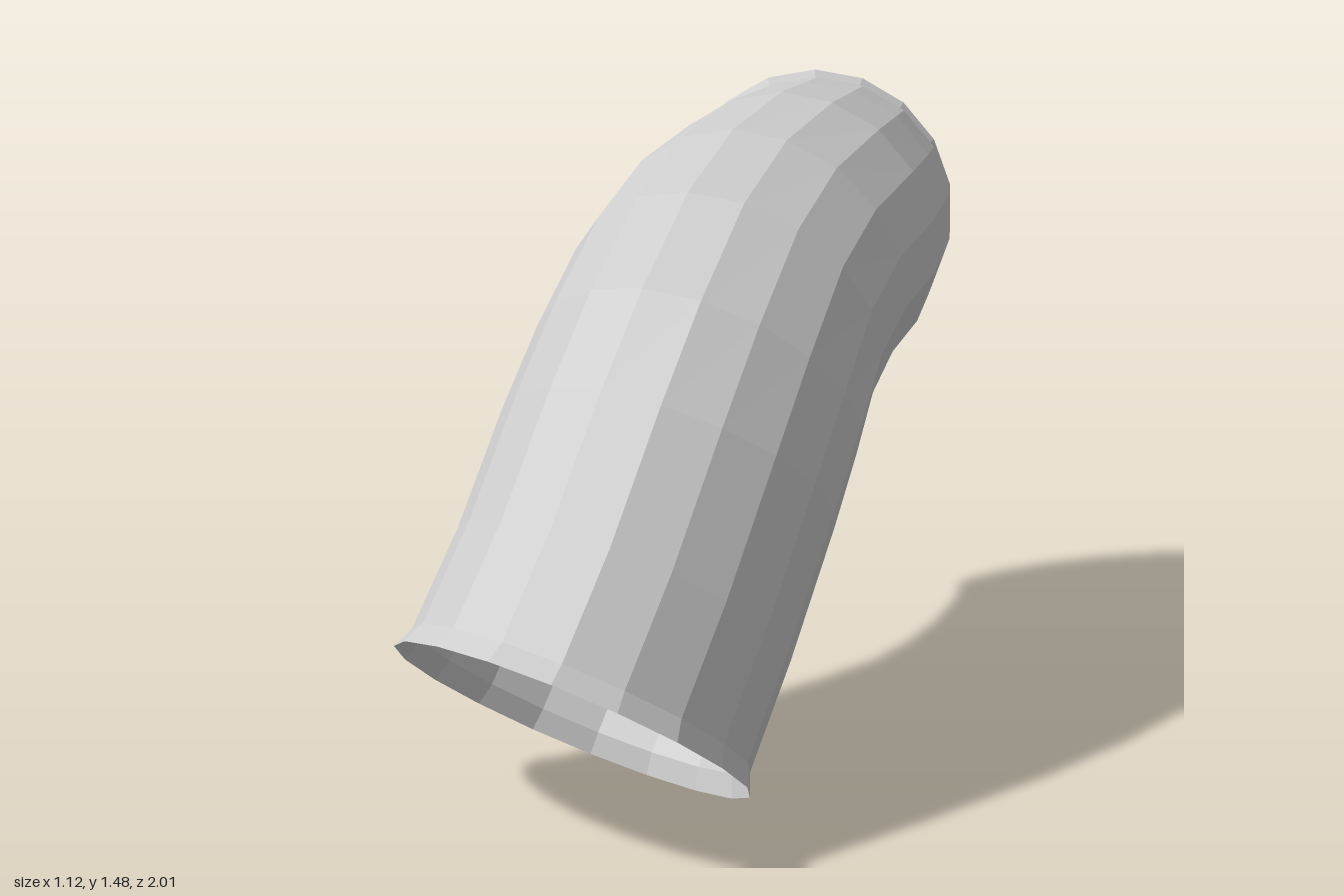
import * as THREE from 'three';

const SIDES = 18;

// Cross-sections along the sleeve: centre, radius, axis direction
const SECTIONS = [
  [0.14, 0.25, 0.67, 0.415, 0, 0.8, -0.6],
  [0.14, 0.29, 0.64, 0.395, 0, 0.8, -0.6],
  [0.135, 0.49, 0.49, 0.39, -0.03, 0.8, -0.6],
  [0.11, 0.73, 0.31, 0.39, -0.1, 0.78, -0.62],
  [0.085, 0.88, 0.18, 0.385, -0.16, 0.68, -0.71],
  [0.05, 1.01, 0.04, 0.375, -0.24, 0.5, -0.83],
  [0.0, 1.085, -0.13, 0.37, -0.29, 0.3, -0.9],
  [-0.07, 1.12, -0.35, 0.365, -0.35, 0.08, -0.93],
  [-0.165, 1.125, -0.55, 0.35, -0.47, -0.03, -0.87],
  [-0.235, 1.12, -0.68, 0.345, -0.6, -0.12, -0.77],
  [-0.28, 1.12, -0.735, 0.34, -0.66, -0.2, -0.72],
  [-0.3, 1.12, -0.765, 0.355, -0.66, -0.22, -0.72],
];

// Skin a row of circular sections, carrying the side vector along without twist
function skin(sections) {
  const positions = [], indices = [];
  const side = new THREE.Vector3(1, 0, 0);
  sections.forEach(([x, y, z, r, dx, dy, dz], i) => {
    const dir = new THREE.Vector3(dx, dy, dz).normalize();
    side.addScaledVector(dir, -side.dot(dir)).normalize();
    const up = new THREE.Vector3().crossVectors(dir, side);
    for (let j = 0; j < SIDES; j++) {
      const a = (j / SIDES) * Math.PI * 2;
      const p = new THREE.Vector3(x, y, z)
        .addScaledVector(side, r * Math.cos(a))
        .addScaledVector(up, r * Math.sin(a));
      positions.push(p.x, p.y, p.z);
      if (i === 0) continue;
      const k = (j + 1) % SIDES, lo = (i - 1) * SIDES, hi = i * SIDES;
      indices.push(lo + j, lo + k, hi + k, lo + j, hi + k, hi + j);
    }
  });
  const geometry = new THREE.BufferGeometry();
  geometry.setAttribute('position', new THREE.Float32BufferAttribute(positions, 3));
  geometry.setIndex(indices);
  geometry.computeVertexNormals();
  return geometry;
}

export function createModel() {
  const group = new THREE.Group();
  group.name = 'bentSleeve';

  // Thin bent tube, open at both flared ends
  const material = new THREE.MeshStandardMaterial({
    color: 0xcccccc, flatShading: true, side: THREE.DoubleSide,
  });
  const sleeve = new THREE.Mesh(skin(SECTIONS), material);
  sleeve.name = 'sleeve';
  group.add(sleeve);
  return group;
}
